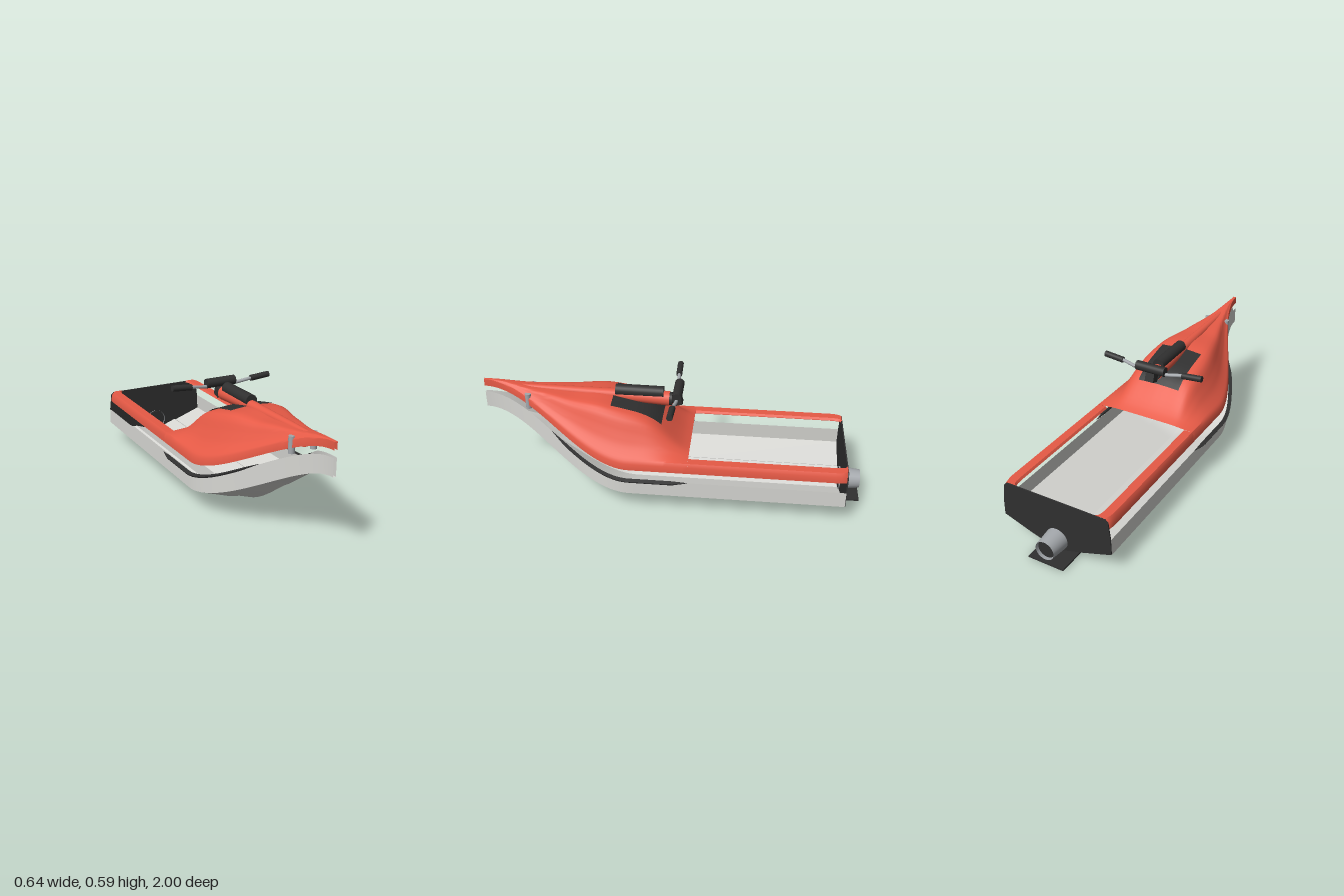
import * as THREE from 'three';
import { toCreasedNormals } from 'three/addons/utils/BufferGeometryUtils.js';

const mat = (name, color, side = THREE.FrontSide) => {
  const m = new THREE.MeshStandardMaterial({ color, side });
  m.name = name;
  return m;
};

// Joins a list of cross-sections, each a list of [x, y, z], into one skin
function loft(sections, crease = 0.5) {
  const n = sections[0].length, index = [];
  for (let i = 0; i < sections.length - 1; i++) {
    for (let j = 0; j < n - 1; j++) {
      const a = i * n + j, b = a + n;
      index.push(a, b, a + 1, b, b + 1, a + 1);
    }
  }
  const g = new THREE.BufferGeometry();
  g.setAttribute('position', new THREE.Float32BufferAttribute(sections.flat(2), 3));
  g.setIndex(index);
  return toCreasedNormals(g, crease);
}

const range = (a, b, n) => Array.from({ length: n + 1 }, (_, i) => a + (b - a) * i / n);

// Full section from the +x half, listed from the edge to the centre
const mirrorSection = half => [...half, ...half.slice(0, -1).reverse().map(([x, y, z]) => [-x, y, z])];

// Bow sweep: 0 amidships, 1 at the tip
const sweep = z => THREE.MathUtils.smoothstep(z, 0.2, 1);
const hullWidth = z => 0.008 + 0.292 * (1 - sweep(z));
const deckWidth = z => 0.008 + 0.286 * (1 - sweep(z));

function hullSection(z) {
  const s = sweep(z), w = hullWidth(z);
  const keel = 0.012 + 0.4 * s, d = 0.098 * Math.pow(1 - s, 1.6);
  return mirrorSection([
    [w * 0.993, 0.195 + 0.305 * s, z], [w, keel + d, z],
    [0.48 * w, keel + 0.42 * d, z], [0.44 * w, keel + 0.48 * d, z], [0, keel, z],
  ]);
}

// Hood: rise along the length times a bell profile across it
const v2 = (x, y) => new THREE.Vector2(x, y);
const rise = new THREE.SplineCurve([0.008, 0.172, 0.208, 0.12, 0.03, 0].map((h, i) => v2(i, h)));
const bell = new THREE.SplineCurve([
  v2(0, 1), v2(0.22, 0.98), v2(0.54, 0.9), v2(0.7, 0.52), v2(0.81, 0.25), v2(0.96, 0),
]).getPoints(20);
const hoodRise = z => Math.max(0, rise.getPoint((z + 0.1) / 1.1).y);
const railTop = z => 0.303 + 0.27 * sweep(z);

function hoodY(x, z) {
  const f = Math.abs(x) / deckWidth(z);
  const i = Math.max(1, bell.findIndex(p => p.x >= f));
  const a = bell[i - 1], b = bell[i];
  const k = a.y + (b.y - a.y) * (f - a.x) / (b.x - a.x);
  return railTop(z) + hoodRise(z) * k;
}

function deckSection(z) {
  const w = deckWidth(z), s = sweep(z), bottom = 0.25 + 0.285 * s;
  const half = [[w, bottom, z], [w * 0.995, bottom + 0.035, z]];
  for (const p of [...bell].reverse()) half.push([p.x * w, railTop(z) + hoodRise(z) * p.y, z]);
  return mirrorSection(half);
}

export function createModel() {
  const model = new THREE.Group();
  model.name = 'standUpWatercraft';
  const hullGrey = mat('hullGrey', 0xd6d6d2, THREE.DoubleSide);
  const red = mat('deckRed', 0xe65a46, THREE.DoubleSide);
  const black = mat('charcoal', 0x303030, THREE.DoubleSide);
  const metal = mat('metalGrey', 0xa4a8ac, THREE.DoubleSide);

  const add = (name, geometry, material, x = 0, y = 0, z = 0) => {
    const m = new THREE.Mesh(geometry, material);
    m.name = name;
    m.position.set(x, y, z);
    model.add(m);
    return m;
  };
  // Round bar between two points
  const rod = (name, a, b, r0, r1, material, open = false) => {
    const p = new THREE.Vector3(...a), q = new THREE.Vector3(...b), d = q.clone().sub(p);
    const m = add(name, new THREE.CylinderGeometry(r1, r0, d.length(), 24, 1, open), material);
    m.position.copy(p).add(q).multiplyScalar(0.5);
    m.quaternion.setFromUnitVectors(new THREE.Vector3(0, 1, 0), d.normalize());
    return m;
  };

  // Shells
  add('hull', loft([-0.9, ...range(-0.1, 1, 44)].map(hullSection), 0.35), hullGrey);
  add('hood', loft(range(-0.1, 1, 44).map(deckSection), 0.6), red);

  // Side rails of the tray, drawn inward at the stern
  const railStations = [[-0.1, 0, 0.23], [-0.84, 0, 0.23], [-0.87, 0.003, 0.228], [-0.89, 0.01, 0.222], [-0.9, 0.022, 0.21]];
  for (const side of [1, -1]) {
    add('trayRail', loft(railStations.map(([z, inset, inner]) => [
      [0.294 - inset * 0.4, 0.25, z], [0.2925 - inset * 0.6, 0.285, z], [0.282 - inset, 0.303, z],
      [inner + 0.008, 0.303, z], [inner, 0.292, z],
    ].map(([x, y, zz]) => [side * x, y, zz])), 0.7), red);
  }

  // Transom
  const outline = [[0.27, 0.3], [0.286, 0.285], [0.29, 0.25], [0.297, 0.195], [0.298, 0.11], [0.14, 0.055], [0, 0.013]];
  const shape = new THREE.Shape([
    ...outline.map(([x, y]) => v2(x, y)),
    ...outline.slice(0, -1).reverse().map(([x, y]) => v2(-x, y)),
  ]);
  add('transom', new THREE.ExtrudeGeometry(shape, { depth: 0.006, bevelEnabled: false }), black, 0, 0, -0.903);

  // Jet nozzle and ride plate
  rod('jetNozzle', [0, 0.078, -0.89], [0, 0.078, -1], 0.061, 0.05, metal, true);
  rod('nozzleCore', [0, 0.078, -0.89], [0, 0.078, -0.985], 0.055, 0.046, black);
  add('ridePlate', new THREE.BoxGeometry(0.195, 0.008, 0.3), black, 0, 0.004, -0.85);

  // Tapered rub strips and bow bolts
  for (const side of [1, -1]) {
    add('rubStrip', loft(range(-0.1, 0.62, 30).map((z, i) => {
      const k = Math.min(1, 3 * Math.sin(Math.PI * i / 30)) * 0.9 + 0.1;
      const x = hullWidth(z), y = 0.197 + 0.305 * sweep(z);
      return [[0, 0.006], [0.02, -0.002], [0.016, -0.009], [-0.002, -0.002], [0, 0.006]]
        .map(([dx, dy]) => [side * (x + dx * k), y + dy * k, z]);
    }), 0.6), black);
    rod('bowBolt', [side * 0.059, 0.447, 0.755], [side * 0.059, 0.53, 0.755], 0.016, 0.016, metal);
  }

  // Hood mat, following the hood
  add('hoodMat', loft(range(0.05, 0.31, 12).map(z =>
    range(-0.12, 0.12, 16).map(x => [x, hoodY(x, z) + 0.005, z]))), black);

  // Steering pole with its pad
  rod('steeringPole', [0, 0.513, 0.02], [0, 0.54, 0.8], 0.038, 0.016, red);
  rod('polePad', [0, 0.548, 0.05], [0, 0.55, 0.3], 0.031, 0.031, black);
  rod('poleEnd', [0, 0.513, 0.022], [0, 0.513, 0.005], 0.034, 0.034, black);

  // Handlebar
  const bar = new THREE.CatmullRomCurve3([
    [-0.28, 0.568, -0.01], [-0.175, 0.56, -0.012], [-0.09, 0.547, -0.022], [0, 0.545, -0.028],
    [0.09, 0.547, -0.022], [0.175, 0.56, -0.012], [0.28, 0.568, -0.01],
  ].map(p => new THREE.Vector3(...p)));
  add('handlebar', new THREE.TubeGeometry(bar, 48, 0.009, 12), metal);
  for (const side of [1, -1]) {
    rod('grip', [side * 0.175, 0.56, -0.012], [side * 0.284, 0.569, -0.01], 0.016, 0.016, black);
  }
  rod('barPad', [-0.083, 0.562, -0.025], [0.083, 0.562, -0.025], 0.025, 0.025, black);
  add('barClamp', new THREE.BoxGeometry(0.05, 0.055, 0.045), black, 0, 0.514, -0.02).rotation.x = 0.3;

  return model;
}
